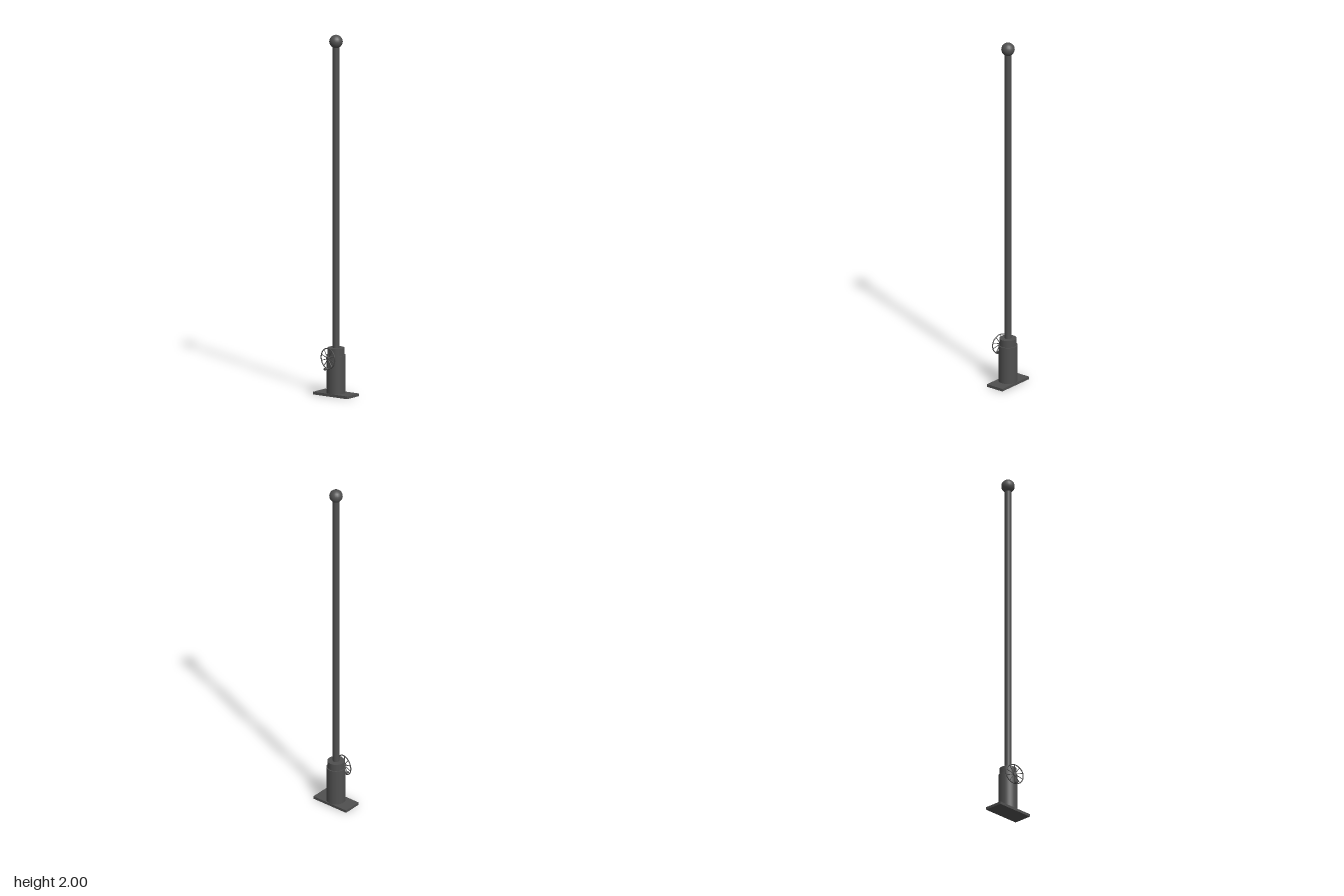
import * as THREE from 'three';

const metal = new THREE.MeshStandardMaterial({ color: 0x505050 });
const AXIS_Z = -0.019; // pole axis

function add(parent, name, geometry, x = 0, y = 0, z = 0) {
  const mesh = new THREE.Mesh(geometry, metal);
  mesh.name = name;
  mesh.position.set(x, y, z);
  parent.add(mesh);
  return mesh;
}

// Cylinder standing between two heights on the pole axis
function column(parent, name, radius, y0, y1, sides) {
  return add(parent, name, new THREE.CylinderGeometry(radius, radius, y1 - y0, sides), 0, (y0 + y1) / 2, AXIS_Z);
}

// Cylinder lying along z between two depths
function rod(parent, name, radius, z0, z1, y = 0) {
  const mesh = add(parent, name, new THREE.CylinderGeometry(radius, radius, z1 - z0, 16), 0, y, (z0 + z1) / 2);
  mesh.rotation.x = Math.PI / 2;
  return mesh;
}

function createHandWheel() {
  const wheel = new THREE.Group();
  wheel.name = 'handWheel';
  const radius = 0.056;
  add(wheel, 'rim', new THREE.TorusGeometry(radius, 0.003, 8, 40));
  rod(wheel, 'axle', 0.006, -0.022, 0.004);
  rod(wheel, 'hub', 0.01, -0.005, 0.006);

  // Spokes
  const count = 10;
  for (let i = 0; i < count; i++) {
    const a = (i / count) * Math.PI * 2;
    const spoke = add(wheel, 'spoke', new THREE.CylinderGeometry(0.002, 0.002, radius, 6),
      -Math.sin(a) * radius / 2, Math.cos(a) * radius / 2, 0);
    spoke.rotation.z = a;
  }

  // Crank handle at the bottom of the rim
  rod(wheel, 'handleStem', 0.004, -0.002, 0.01, -radius);
  rod(wheel, 'handleGrip', 0.0065, 0.007, 0.027, -radius);
  return wheel;
}

export function createModel() {
  const model = new THREE.Group();
  model.name = 'polePost';

  // Base plate and stepped socket
  add(model, 'basePlate', new THREE.BoxGeometry(0.23, 0.015, 0.108), 0, 0.0075, AXIS_Z);
  column(model, 'socket', 0.053, 0.015, 0.225, 32);
  column(model, 'collar', 0.047, 0.225, 0.265, 32);

  // Pole with ball finial
  column(model, 'pole', 0.018, 0.265, 1.95, 24);
  add(model, 'ballFinial', new THREE.SphereGeometry(0.037, 20, 12), 0, 1.963, AXIS_Z);

  // Hand wheel, turned slightly off the front
  const wheel = createHandWheel();
  wheel.position.set(-0.01, 0.212, 0.041);
  wheel.rotation.y = -0.21;
  model.add(wheel);

  return model;
}
